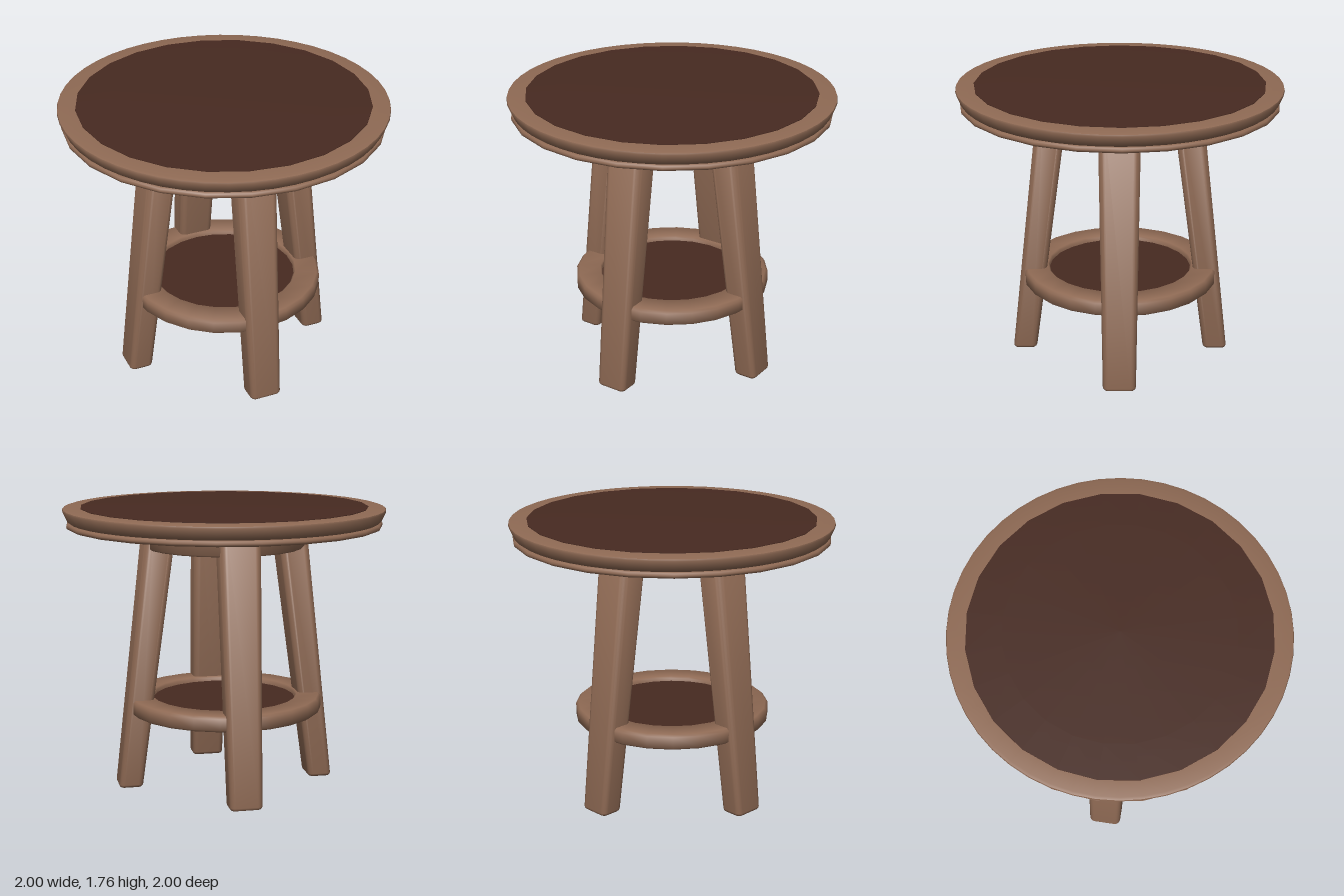
import * as THREE from 'three';
import { toCreasedNormals } from 'three/addons/utils/BufferGeometryUtils.js';

export function createModel() {
  const model = new THREE.Group();
  model.name = 'roundTable';

  const wood = new THREE.MeshStandardMaterial({ color: 0x8f6a54 });
  wood.name = 'brown wood';
  const darkWood = new THREE.MeshStandardMaterial({ color: 0x472a21 });
  darkWood.name = 'dark wood';

  const add = (name, geometry, material) => {
    const mesh = new THREE.Mesh(toCreasedNormals(geometry, 0.95), material);
    mesh.name = name;
    model.add(mesh);
    return mesh;
  };

  // Profile points [radius, height] run from the underside, round the outside, to the top
  const turned = (name, profile, segments, material) =>
    add(name, new THREE.LatheGeometry(profile.map(([r, y]) => new THREE.Vector2(r, y)), segments), material);

  // Table top: flared rim, domed inset panel and lower lip with a hollow underside
  turned('topRim', [[0.92, 1.668], [0.958, 1.668], [0.972, 1.678], [0.999, 1.738], [0.996, 1.748],
    [0.98, 1.753], [0.87, 1.755]], 48, wood);
  turned('topPanel', [[0.89, 1.745], [0.89, 1.758], [0.68, 1.764], [0, 1.765]], 24, darkWood);
  turned('topLip', [[0.64, 1.715], [0.76, 1.705], [0.87, 1.675], [0.94, 1.637], [0.965, 1.632], [0.977, 1.638],
    [0.98, 1.65], [0.975, 1.662], [0.96, 1.668], [0.91, 1.67]], 24, wood);

  // Support plate under the top, brown on its side and dark below
  turned('plateEdge', [[0.655, 1.64], [0.667, 1.65], [0.667, 1.725]], 24, wood);
  turned('plateUnderside', [[0, 1.64], [0.655, 1.64]], 24, darkWood);

  // Hollow apron ring that joins the legs
  turned('apron', [[0.42, 1.645], [0.42, 1.515], [0.43, 1.505], [0.49, 1.505], [0.501, 1.515],
    [0.501, 1.645]], 24, wood);

  // Lower shelf: ring with eased edges and an inset panel
  turned('shelfRing', [[0.45, 0.555], [0.45, 0.478], [0.46, 0.468], [0.595, 0.468], [0.612, 0.482],
    [0.612, 0.552], [0.597, 0.566], [0.46, 0.566], [0.45, 0.555]], 24, wood);
  turned('shelfPanel', [[0, 0.487], [0.455, 0.487], [0.455, 0.537], [0, 0.537]], 24, darkWood);

  // Leg: rounded bar, wider at the top and leaning in towards the centre
  const legHeight = 1.64, bevel = 0.02;
  const halfW = 0.101 - bevel, halfD = 0.075 - bevel, corner = 0.015;
  const section = new THREE.Shape();
  [[1, -1], [1, 1], [-1, 1], [-1, -1]].forEach(([sx, sy], i) => {
    section.absarc(sx * (halfW - corner), sy * (halfD - corner), corner,
      (i - 1) * Math.PI / 2, i * Math.PI / 2, false);
  });
  section.closePath();
  const leg = new THREE.ExtrudeGeometry(section, {
    depth: legHeight - 2 * bevel, bevelEnabled: true, bevelSize: bevel,
    bevelThickness: bevel, bevelSegments: 3, curveSegments: 3
  });
  leg.translate(0, 0, bevel);
  leg.rotateX(-Math.PI / 2);
  const pos = leg.attributes.position;
  for (let i = 0; i < pos.count; i++) {
    const t = pos.getY(i) / legHeight;
    const widen = 1 + 0.25 * t;
    pos.setX(i, pos.getX(i) * widen);
    pos.setZ(i, pos.getZ(i) * widen + THREE.MathUtils.lerp(0.614, 0.41, t));
  }
  ['frontLeg', 'leftLeg', 'backLeg', 'rightLeg'].forEach((name, i) => {
    add(name, leg, wood).rotation.y = -16 * Math.PI / 180 + i * Math.PI / 2;
  });

  return model;
}
